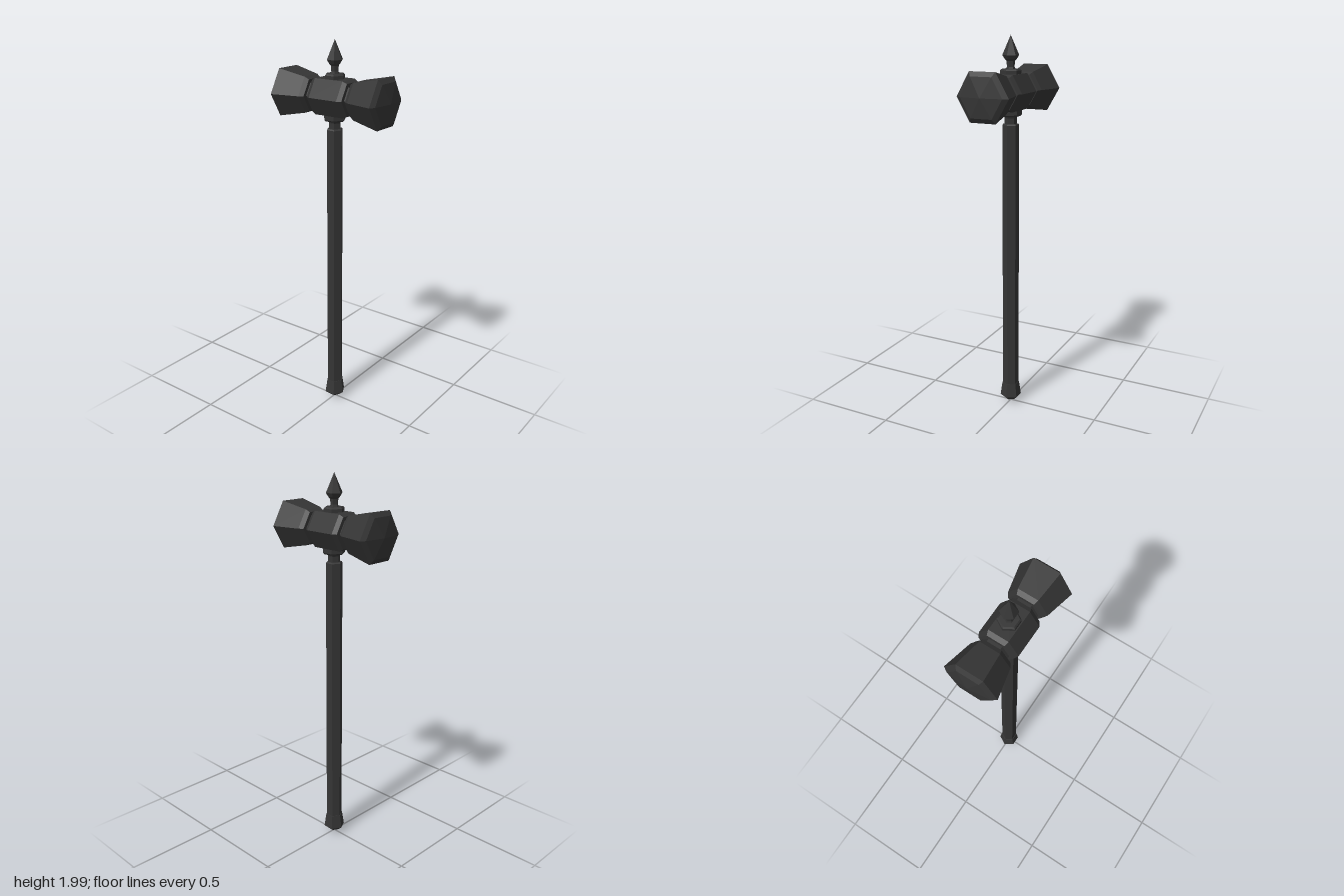
import * as THREE from 'three';

const iron = new THREE.MeshStandardMaterial({ color: 0x353535, flatShading: true });
iron.name = 'darkIron';

// Six-sided solid from [radius, height] points, listed bottom to top
function hexSolid(name, points, turn = Math.PI / 2) {
  const profile = points.map(([r, y]) => new THREE.Vector2(r, y));
  const lathe = new THREE.LatheGeometry(profile, 6, turn);
  const geometry = lathe.toNonIndexed();
  geometry.computeVertexNormals();
  const mesh = new THREE.Mesh(geometry, iron);
  mesh.name = name;
  return mesh;
}

export function createModel() {
  const hammer = new THREE.Group();
  hammer.name = 'warHammer';

  // Handle, with corners on the x axis
  hammer.add(
    hexSolid('pommel', [[0, 0.008], [0.03, 0.022], [0.057, 0.045], [0.046, 0.12], [0, 0.12]]),
    hexSolid('shaft', [[0, 0.1], [0.043, 0.1], [0.043, 1.56], [0.038, 1.566], [0, 1.566]]),
    hexSolid('shaftNeck', [[0, 1.55], [0.031, 1.55], [0.031, 1.595], [0.038, 1.61], [0, 1.61]]),
    hexSolid('lowerCollar', [[0, 1.605], [0.05, 1.605], [0.057, 1.612], [0.057, 1.65], [0, 1.65]]),
    hexSolid('upperCollar', [[0, 1.8], [0.053, 1.8], [0.053, 1.83], [0.046, 1.837], [0, 1.837]]),
    hexSolid('topSpike', [[0, 1.83], [0.025, 1.83], [0.019, 1.848], [0.021, 1.875],
      [0.03, 1.885], [0.042, 1.904], [0, 2]]),
  );

  // Head, turned to lie along x with corners on the z axis
  const head = new THREE.Group();
  head.name = 'head';
  head.position.y = 1.724;
  head.rotation.z = -Math.PI / 2;
  head.add(
    hexSolid('headBlock', [[0, -0.105], [0.09, -0.105], [0.103, -0.083],
      [0.103, 0.083], [0.09, 0.105], [0, 0.105]], 0),
    hexSolid('headCore', [[0, -0.14], [0.069, -0.14], [0.069, 0.14], [0, 0.14]], 0),
  );

  // Two matching striking ends
  for (const [name, flip] of [['leftStriker', 0], ['rightStriker', Math.PI]]) {
    const striker = hexSolid(name, [[0, 0.126], [0.089, 0.126], [0.104, 0.148],
      [0.138, 0.297], [0.112, 0.313], [0, 0.327]], 0);
    striker.rotation.z = flip;
    head.add(striker);
  }
  hammer.add(head);
  return hammer;
}
